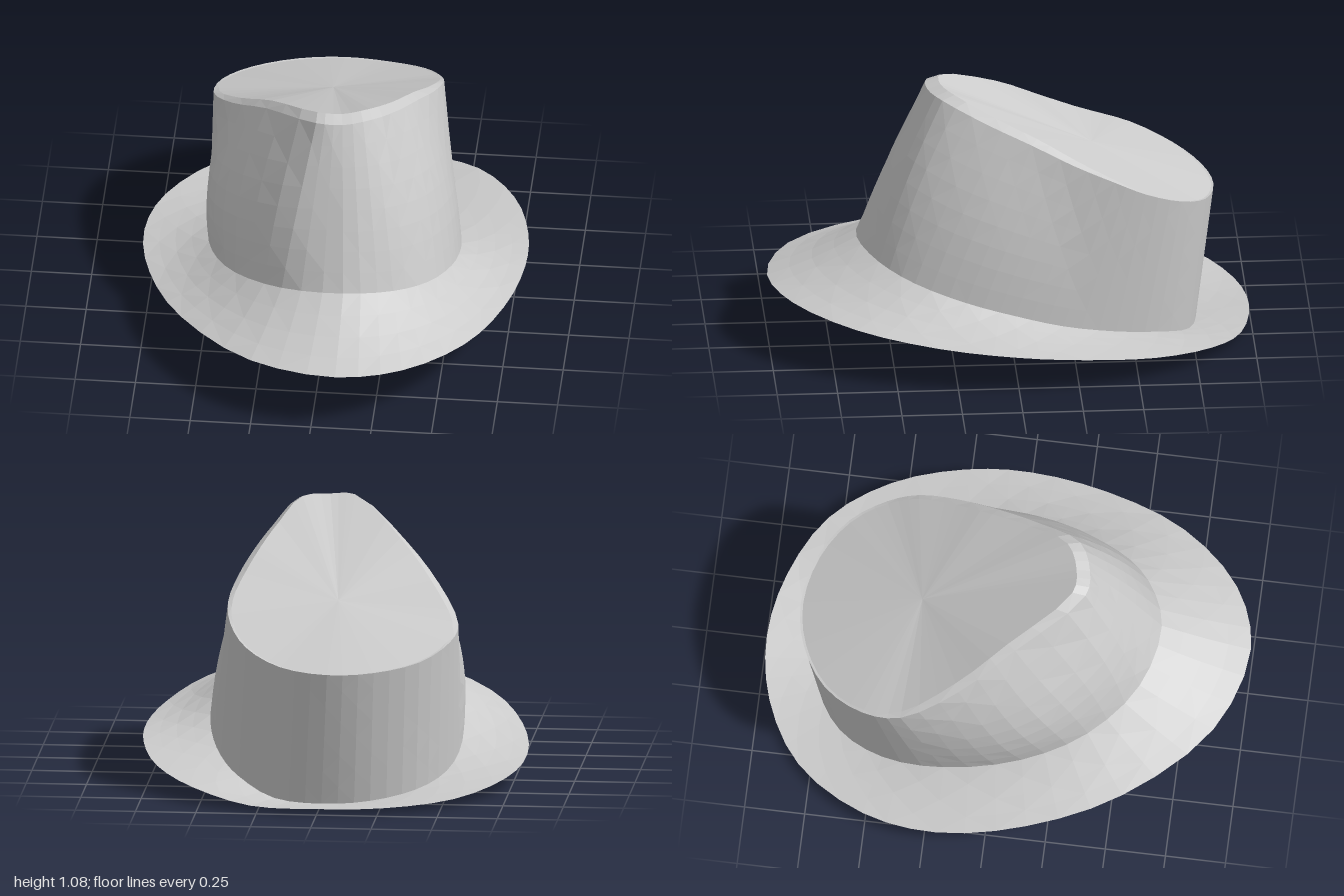
import * as THREE from 'three';

const SEG = 51;
const { smoothstep } = THREE.MathUtils;

// Closed guide curves, [x, y, z], starting at the front and running towards +x
const RIM = [
  [.1, .258, 1], [.37, .247, .91], [.605, .217, .66], [.74, .183, .33], [.797, .158, 0], [.785, .135, -.27],
  [.7, .1, -.57], [.53, .065, -.81], [.28, .023, -.95], [0, .025, -1], [-.28, .025, -.955], [-.55, .035, -.8],
  [-.74, .065, -.51], [-.8, .1, -.2], [-.745, .15, .17], [-.58, .203, .55], [-.26, .243, .89],
];
const BASE = [
  [.1, .42, .63], [.3, .39, .55], [.43, .345, .41], [.51, .285, .2], [.53, .23, 0], [.51, .17, -.2],
  [.45, .115, -.42], [.36, .07, -.6], [.2, .012, -.74], [0, 0, -.78], [-.2, .012, -.76], [-.38, .04, -.65],
  [-.49, .08, -.46], [-.53, .15, -.2], [-.49, .24, .12], [-.37, .32, .38], [-.16, .39, .57],
];
const TOP = [
  [.07, 1.062, .335], [.19, 1.06, .28], [.28, .985, .1], [.345, .915, -.08], [.395, .84, -.25], [.42, .77, -.42],
  [.4, .705, -.55], [.32, .635, -.7], [.17, .58, -.81], [-.03, .56, -.855], [-.22, .565, -.82], [-.4, .59, -.71],
  [-.51, .64, -.54], [-.53, .685, -.38], [-.43, .8, -.15], [-.27, .935, .065], [-.04, 1.062, .33],
];

function ring(points) {
  const curve = new THREE.CatmullRomCurve3(points.map(p => new THREE.Vector3(...p)), true);
  return Array.from({ length: SEG }, (_, i) => curve.getPoint(i / SEG));
}

// Rings between a and b, shifted by bend(t, point)
function between(a, b, steps, bend = () => {}) {
  return Array.from({ length: steps + 1 }, (_, k) => a.map((p, i) => {
    const v = p.clone().lerp(b[i], k / steps);
    bend(k / steps, v);
    return v;
  }));
}

function loft(name, rings, material) {
  const positions = rings.flat().flatMap(p => p.toArray());
  const index = [];
  for (let r = 0; r < rings.length - 1; r++) {
    for (let i = 0; i < SEG; i++) {
      const a = r * SEG + i, b = r * SEG + (i + 1) % SEG;
      const c = b + SEG, d = a + SEG;
      if ((r + i) % 2) index.push(a, b, c, a, c, d);
      else index.push(a, b, d, b, c, d);
    }
  }
  const geometry = new THREE.BufferGeometry();
  geometry.setAttribute('position', new THREE.Float32BufferAttribute(positions, 3));
  geometry.setIndex(index);
  geometry.computeVertexNormals();
  const mesh = new THREE.Mesh(geometry, material);
  mesh.name = name;
  return mesh;
}

export function createModel() {
  const group = new THREE.Group();
  group.name = 'hat';
  const felt = new THREE.MeshStandardMaterial({ color: 0xcccccc, flatShading: true, side: THREE.DoubleSide });
  const rim = ring(RIM), base = ring(BASE), top = ring(TOP);

  // Brim, sagging a little between rim and crown
  group.add(loft('brim', between(rim, base, 4, (t, v) => {
    v.y -= .012 * Math.sin(Math.PI * t) * smoothstep(v.z, -.6, .2);
  }), felt));

  // Crown wall, rounded out at the front corners and along the sides
  group.add(loft('crownWall', between(base, top, 8, (t, v) => {
    const dir = new THREE.Vector3(v.x, 0, v.z + .1).normalize();
    const amount = v.x < 0 ? .09 : .04;
    const swell = amount * Math.max(dir.z + .3, 0) * Math.abs(dir.x);
    v.addScaledVector(dir, swell * Math.sin(Math.PI * t));
  }), felt));

  // Bevelled shoulder around the top, fading out at the back
  const centre = new THREE.Vector3(-.03, .765, -.35);
  const inner = top.map(p => {
    const depth = smoothstep(p.z, -.65, -.1);
    const v = p.clone().lerp(centre, .02 + .06 * depth);
    v.y = p.y + .017 * depth;
    return v;
  });
  group.add(loft('crownShoulder', [top, inner], felt));

  // Sloping top panel
  group.add(loft('crownTop', between(inner, inner.map(() => centre), 6), felt));

  return group;
}
